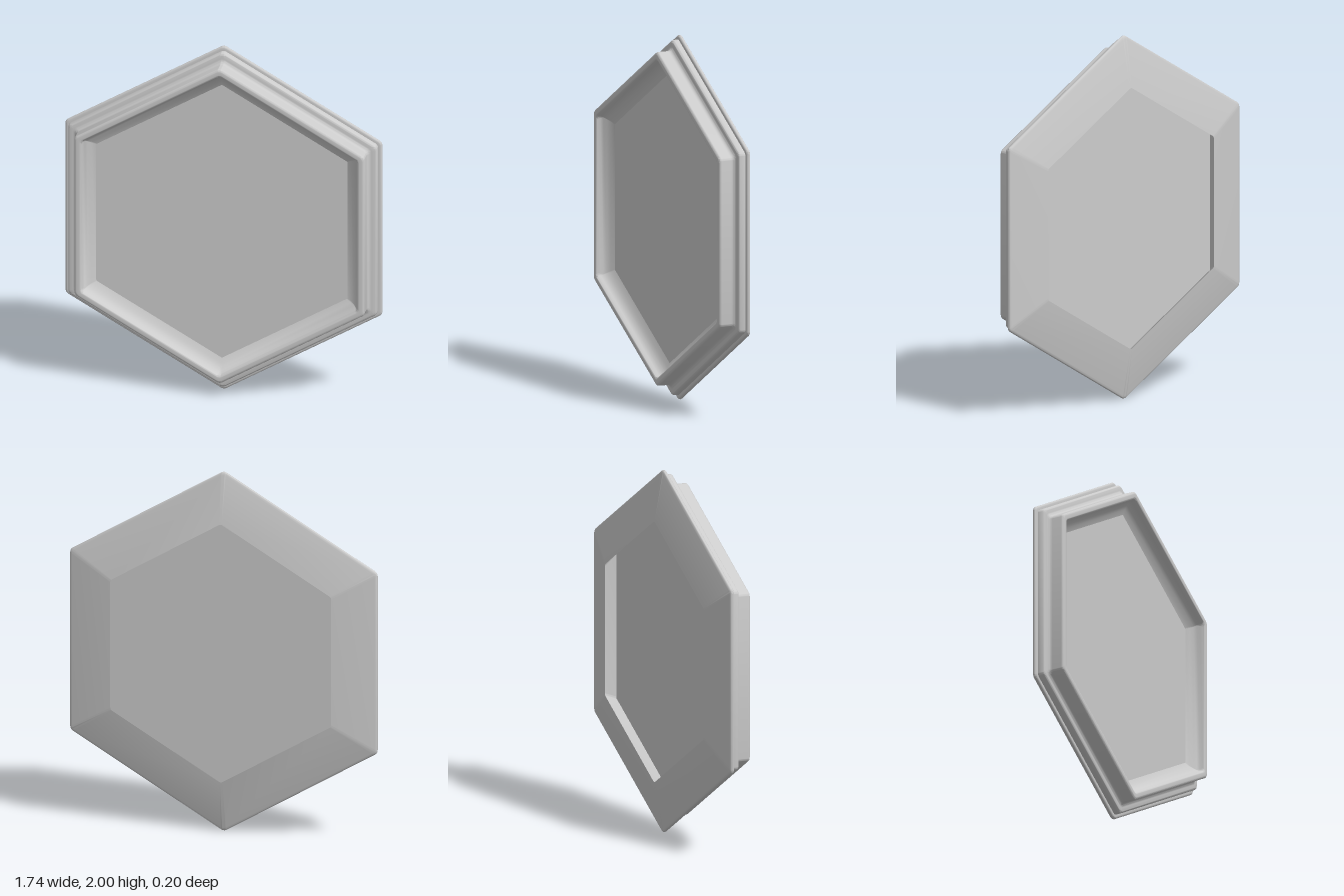
import * as THREE from 'three';
import { toCreasedNormals } from 'three/addons/utils/BufferGeometryUtils.js';

const ARC = 6; // segments per rounded corner

// Outline of a rounded, point-up hexagon with the given apothem and corner radius
function hexOutline(apothem, radius) {
  const points = [];
  const reach = (apothem - radius) / Math.cos(Math.PI / 6);
  for (let k = 0; k < 6; k++) {
    const corner = Math.PI / 6 + (k * Math.PI) / 3;
    for (let s = 0; s <= ARC; s++) {
      const t = corner + (s / ARC - 0.5) * (Math.PI / 3);
      points.push(new THREE.Vector2(
        reach * Math.cos(corner) + radius * Math.cos(t),
        reach * Math.sin(corner) + radius * Math.sin(t)
      ));
    }
  }
  return points;
}

// Quarter-round run of profile points about (a, z), angles in degrees
function round(a, z, radius, from, to, corner) {
  return Array.from({ length: 6 }, (_, i) => {
    const t = THREE.MathUtils.degToRad(from + ((to - from) * i) / 5);
    return [a + radius * Math.cos(t), z + radius * Math.sin(t), corner];
  });
}

// Skin a profile of [apothem, z, corner radius] around the hexagon
function hexSweep(profile) {
  const positions = [], index = [];
  const n = 6 * (ARC + 1);
  profile.forEach(([a, z, r = 0.03]) => {
    hexOutline(a, r).forEach((p) => positions.push(p.x, p.y, z));
  });
  for (let i = 0; i < profile.length - 1; i++) {
    for (let j = 0; j < n; j++) {
      const k = (j + 1) % n;
      const a = i * n + j, b = i * n + k, c = a + n, d = b + n;
      index.push(a, b, d, a, d, c);
    }
  }
  const geometry = new THREE.BufferGeometry();
  geometry.setAttribute('position', new THREE.Float32BufferAttribute(positions, 3));
  geometry.setIndex(index);
  return toCreasedNormals(geometry, 0.6);
}

export function createModel() {
  const group = new THREE.Group();
  group.name = 'hexagonalFrame';
  const material = new THREE.MeshStandardMaterial({ color: 0xcccccc, side: THREE.DoubleSide });

  function add(name, geometry) {
    const mesh = new THREE.Mesh(geometry, material);
    mesh.name = name;
    mesh.position.y = 1;
    group.add(mesh);
  }

  // Frame section, from the back of the panel round the outside to the front floor
  add('frame', hexSweep([
    // undercut wall behind the back opening
    [0.695, 0, 0.02], [0.625, -0.1, 0.02],
    // sloping back bevel and rounded outer lip
    [0.855, -0.054], ...round(0.859, -0.041, 0.011, -65, 90),
    // collar with a rounded shoulder
    [0.848, -0.03], ...round(0.833, -0.006, 0.015, 0, 85),
    // cove up to the front wall
    ...round(0.82, 0.032, 0.023, 270, 180),
    // front wall and rounded rim
    ...round(0.783, 0.086, 0.014, 0, 90),
    ...round(0.768, 0.088, 0.012, 90, 170),
    // inner wall curving down to the floor
    [0.753, 0.076, 0.02], [0.745, 0.061, 0.015], [0.732, 0.046, 0.012],
    [0.714, 0.032, 0.01], [0.69, 0.02, 0.01],
  ]));

  // Thin flat centre panel, recessed on both sides
  const panel = new THREE.ExtrudeGeometry(new THREE.Shape(hexOutline(0.692, 0.01)), {
    depth: 0.02, bevelEnabled: false,
  });
  add('panel', panel);

  return group;
}
